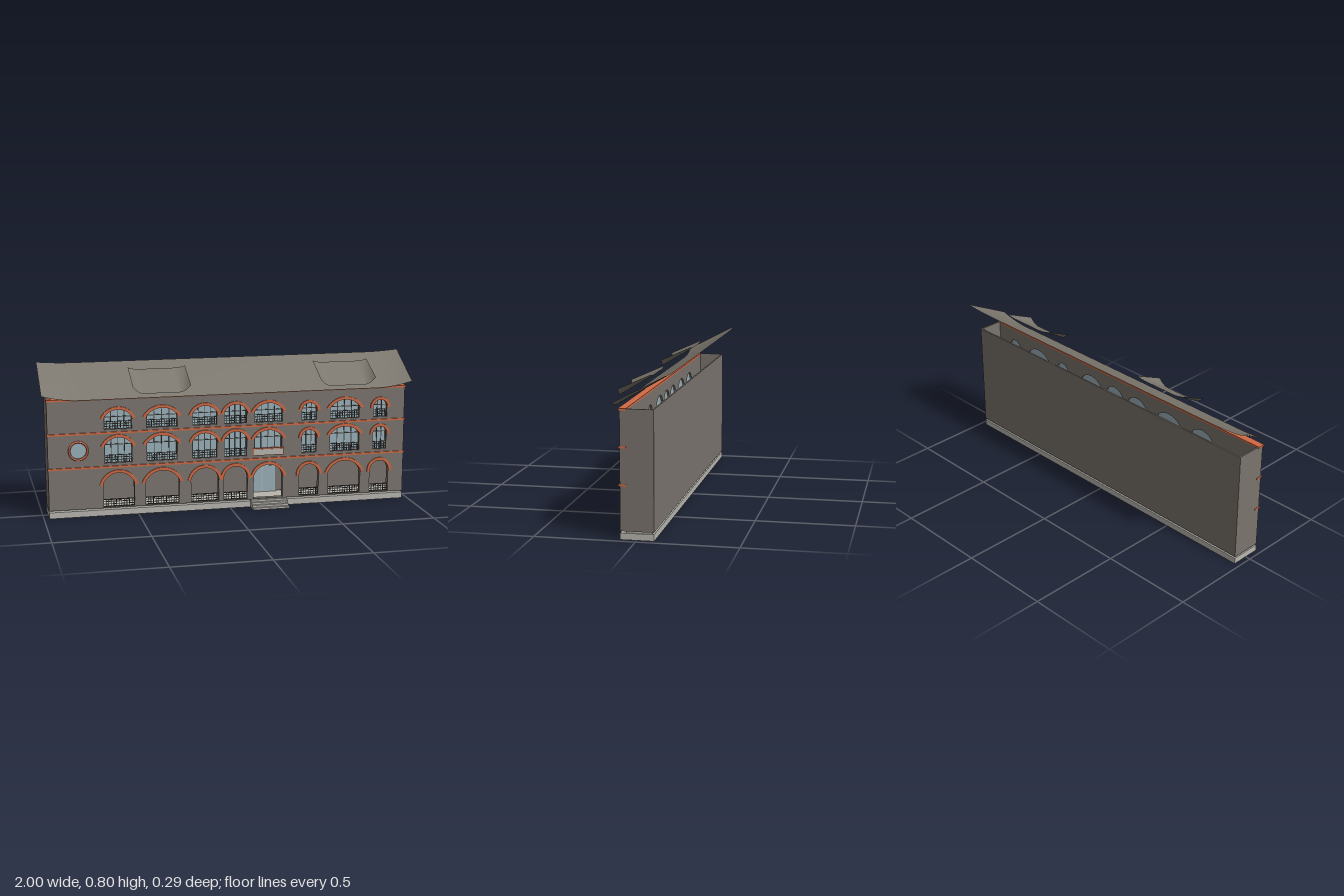
import * as THREE from 'three';

const mat = (name, color, side = THREE.FrontSide) => {
  const m = new THREE.MeshStandardMaterial({ color, side });
  m.name = name;
  return m;
};

export function createModel() {
  const wallMat = mat('wall stone', 0x7b746e);
  const roofMat = mat('roof', 0x7b766d, THREE.DoubleSide);
  const trimMat = mat('terracotta trim', 0xcf6a45);
  const stoneMat = mat('light stone', 0xb8b6ae);
  const glassMat = mat('glass', 0x9ab1ba);
  const ironMat = mat('dark iron', 0x474441);

  const root = new THREE.Group();
  root.name = 'building';

  // Box given by its min and max corners
  function box(name, material, x0, x1, y0, y1, z0, z1, parent = root) {
    const m = new THREE.Mesh(new THREE.BoxGeometry(x1 - x0, y1 - y0, z1 - z0), material);
    m.position.set((x0 + x1) / 2, (y0 + y1) / 2, (z0 + z1) / 2);
    m.name = name;
    parent.add(m);
    return m;
  }

  function extrude(name, material, shape, z, depth, parent = root) {
    const g = new THREE.ExtrudeGeometry(shape, { depth, bevelEnabled: false, curveSegments: 16 });
    const m = new THREE.Mesh(g, material);
    m.position.z = z;
    m.name = name;
    parent.add(m);
    return m;
  }

  // Segmental arch: centre height, radius and start angle
  function arc(half, spring, crown) {
    const rise = crown - spring;
    const r = (half * half + rise * rise) / (2 * rise);
    const cy = crown - r;
    return { cy, r, a: Math.atan2(spring - cy, half) };
  }

  function archOutline(o, Type) {
    const p = new Type();
    const { cy, r, a } = arc(o.half, o.spring, o.crown);
    p.moveTo(o.x - o.half, o.bottom);
    p.lineTo(o.x + o.half, o.bottom);
    p.lineTo(o.x + o.half, o.spring);
    p.absarc(o.x, cy, r, a, Math.PI - a, false);
    p.closePath();
    return p;
  }

  // Columns: x, half width upstairs, half width at ground
  const columns = [
    [-0.603, 0.073, 0.083], [-0.37, 0.082, 0.091], [-0.14, 0.067, 0.075], [0.028, 0.062, 0.066],
    [0.208, 0.076, 0.08], [0.435, 0.042, 0.055], [0.635, 0.082, 0.091], [0.834, 0.039, 0.053],
  ];
  const floors = [
    { bottom: 0.046, spring: 0.175, crown: 0.232 },
    { bottom: 0.285, spring: 0.382, crown: 0.422 },
    { bottom: 0.465, spring: 0.53, crown: 0.57 },
  ];
  const openings = [];
  floors.forEach((f, level) => columns.forEach(([x, upper, ground], col) => {
    const half = level ? upper : ground;
    const crown = f.crown - (half < 0.06 ? 0.01 : 0);
    openings.push({ ...f, crown, x, half, level, col });
  }));

  // Plinth, inner floor and entrance steps
  box('plinth', stoneMat, -0.972, 0.972, 0, 0.033, -0.085, 0.08);
  box('floor', stoneMat, -0.965, 0.965, 0.033, 0.042, -0.075, 0.05);
  for (let i = 0; i < 4; i++) {
    box('step', stoneMat, 0.11, 0.31, i * 0.0105, (i + 1) * 0.0105, 0.07, 0.147 - i * 0.0165);
  }

  // Front wall with arched holes and a round window
  const facade = new THREE.Shape();
  facade.moveTo(-0.972, 0.042);
  facade.lineTo(0.972, 0.042);
  facade.lineTo(0.972, 0.633);
  facade.lineTo(-0.972, 0.633);
  facade.closePath();
  openings.forEach((o) => facade.holes.push(archOutline(o, THREE.Path)));
  const roundX = -0.813, roundY = 0.358;
  const hole = new THREE.Path();
  hole.absarc(roundX, roundY, 0.044, 0, Math.PI * 2, true);
  facade.holes.push(hole);
  extrude('frontWall', wallMat, facade, 0.05, 0.03);

  // Back and side walls, open at the top
  box('backWall', wallMat, -0.972, 0.972, 0.042, 0.633, -0.085, -0.077);
  for (const s of [-1, 1]) {
    const outer = 0.972 * s, inner = 0.964 * s;
    box('sideWall', wallMat, Math.min(outer, inner), Math.max(outer, inner), 0.042, 0.633, -0.077, 0.05);
  }

  // String courses
  for (const y of [0.265, 0.448, 0.629]) {
    box('stringCourse', trimMat, -0.975, 0.975, y - 0.005, y + 0.005, 0.049, 0.087);
  }

  // Iron railing with balusters and a middle rail
  function railing(o, height) {
    const g = new THREE.Group();
    g.name = 'railing';
    const x0 = o.x - o.half, x1 = o.x + o.half, y = o.bottom;
    for (const k of [0.06, 0.38, 0.68, 0.96]) {
      box('rail', ironMat, x0, x1, y + height * k - 0.0015, y + height * k + 0.0015, 0.074, 0.078, g);
    }
    const n = Math.max(5, Math.round(o.half * 2 / 0.014));
    for (let i = 0; i <= n; i++) {
      const x = x0 + (x1 - x0) * i / n;
      box('baluster', ironMat, x - 0.0015, x + 0.0015, y, y + height, 0.0745, 0.0775, g);
    }
    root.add(g);
  }

  // Glass pane with mullions that stop at the arch
  function windowUnit(o) {
    const g = new THREE.Group();
    g.name = 'window';
    extrude('pane', glassMat, archOutline(o, THREE.Shape), 0.06, 0.004, g);
    const { cy, r } = arc(o.half, o.spring, o.crown);
    const n = o.half < 0.06 ? 3 : 4;
    for (let i = 0; i <= n; i++) {
      const dx = (o.half - 0.002) * (2 * i / n - 1);
      const top = cy + Math.sqrt(r * r - dx * dx);
      box('mullion', ironMat, o.x + dx - 0.002, o.x + dx + 0.002, o.bottom, top, 0.063, 0.068, g);
    }
    box('transom', ironMat, o.x - o.half, o.x + o.half, o.spring - 0.002, o.spring + 0.002, 0.063, 0.068, g);
    root.add(g);
  }

  // Arch trims and fillings
  for (const o of openings) {
    const { cy, r, a } = arc(o.half, o.spring, o.crown);
    const start = a - 0.012 / r;
    const band = new THREE.Shape();
    band.absarc(o.x, cy, r + 0.016, start, Math.PI - start, false);
    band.absarc(o.x, cy, r, Math.PI - start, start, true);
    band.closePath();
    extrude('archTrim', trimMat, band, 0.079, 0.008);
    if (o.level) windowUnit(o);
    if (o.col !== 4 || o.level === 2) railing(o, 0.044);
  }

  // Round window
  const ring = new THREE.Mesh(new THREE.TorusGeometry(0.048, 0.006, 6, 32), trimMat);
  ring.name = 'roundWindowTrim';
  ring.position.set(roundX, roundY, 0.081);
  root.add(ring);
  const disc = new THREE.Mesh(new THREE.CylinderGeometry(0.045, 0.045, 0.004, 32), glassMat);
  disc.name = 'roundWindowPane';
  disc.rotation.x = Math.PI / 2;
  disc.position.set(roundX, roundY, 0.064);
  root.add(disc);

  // Balcony panel over the entrance
  box('balconyFrame', trimMat, 0.122, 0.292, 0.285, 0.325, 0.078, 0.088);
  box('balconyPanel', stoneMat, 0.126, 0.288, 0.288, 0.319, 0.08, 0.09);

  // Recessed double door
  box('doorFrame', stoneMat, 0.128, 0.288, 0.042, 0.195, -0.064, -0.06);
  for (const s of [-1, 1]) {
    const x = 0.208 + s * 0.038;
    box('doorLeaf', glassMat, x - 0.035, x + 0.035, 0.046, 0.19, -0.061, -0.057);
  }

  // Sloping sheet whose two ends curl upward
  function sheet(name, x, half, front, back, liftFront, liftBack, curl) {
    const g = new THREE.PlaneGeometry(2 * half, 1, 80, 8);
    const p = g.attributes.position;
    for (let i = 0; i < p.count; i++) {
      const px = p.getX(i), v = p.getY(i) + 0.5;
      const t = Math.max(0, (Math.abs(px) - half + curl) / curl);
      const lift = THREE.MathUtils.lerp(liftFront, liftBack, v) * t * t;
      const y = THREE.MathUtils.lerp(front[1], back[1], v);
      p.setXYZ(i, x + px, y + lift, THREE.MathUtils.lerp(front[0], back[0], v));
    }
    g.computeVertexNormals();
    const m = new THREE.Mesh(g, roofMat);
    m.name = name;
    root.add(m);
  }
  sheet('roof', 0, 1, [0.115, 0.632], [-0.146, 0.787], 0.03, 0.01, 0.2);
  for (const x of [-0.377, 0.633]) {
    sheet('dormerRoof', x, 0.153, [0.135, 0.658], [-0.032, 0.759], 0.036, 0.01, 0.06);
  }

  return root;
}
